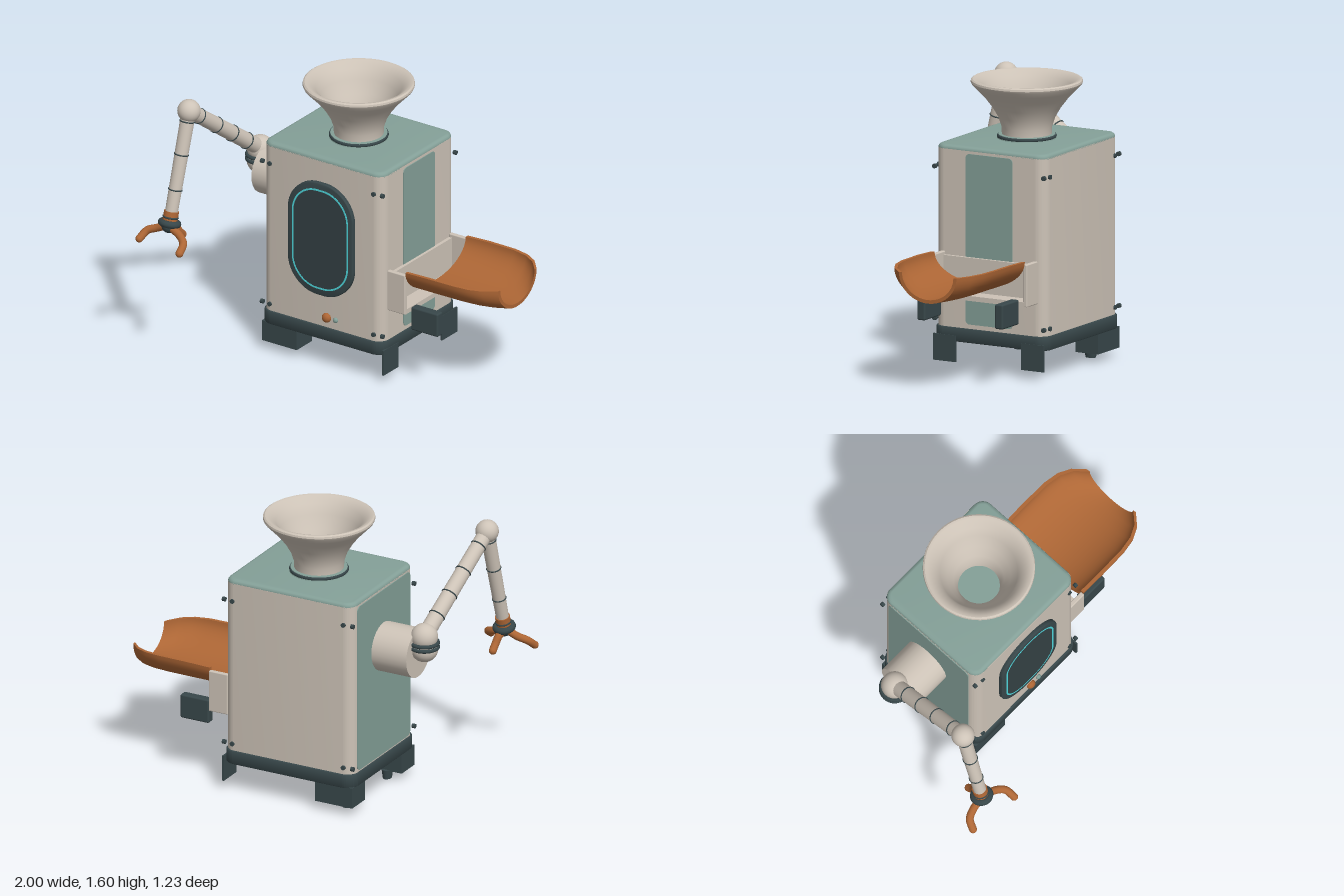
import * as THREE from 'three';
import { toCreasedNormals } from 'three/addons/utils/BufferGeometryUtils.js';
import { RoundedBoxGeometry } from 'three/addons/geometries/RoundedBoxGeometry.js';

const CX = -0.07, CZ = -0.25;
const V = (x, y, z) => new THREE.Vector3(x, y, z);

export function createModel() {
  const root = new THREE.Group();
  const mat = (name, color, side = THREE.FrontSide) =>
    Object.assign(new THREE.MeshStandardMaterial({ color, side }), { name });
  const shell = mat('warm grey shell', 0xcdc3b7);
  const teal = mat('muted teal', 0x84a098);
  const dark = mat('dark slate', 0x38474a);
  const glass = mat('window glass', 0x344144);
  const copper = mat('copper', 0xad6635);
  const cyan = mat('cyan light', 0x4fd8de);

  const add = (name, geo, material, x = 0, y = 0, z = 0, parent = root) => {
    const m = new THREE.Mesh(geo, material);
    m.name = name;
    m.position.set(x, y, z);
    parent.add(m);
    return m;
  };
  const box = (name, w, h, d, material, x, y, z, r = 0) =>
    add(name, r ? new RoundedBoxGeometry(w, h, d, 3, r) : new THREE.BoxGeometry(w, h, d), material, x, y, z);

  // Rounded rectangle, centred, for plan outlines and plates
  const roundRect = (w, h, r, Type = THREE.Shape) => {
    const s = new Type(), a = w / 2, b = h / 2, q = Math.PI / 2;
    s.moveTo(a, -b + r);
    s.lineTo(a, b - r);
    s.absarc(a - r, b - r, r, 0, q);
    s.lineTo(-a + r, b);
    s.absarc(-a + r, b - r, r, q, 2 * q);
    s.lineTo(-a, -b + r);
    s.absarc(-a + r, -b + r, r, 2 * q, 3 * q);
    s.lineTo(a - r, -b);
    s.absarc(a - r, -b + r, r, 3 * q, 4 * q);
    s.closePath();
    return s;
  };
  const extrude = (shape, depth, bevel = 0) => toCreasedNormals(new THREE.ExtrudeGeometry(shape, {
    depth: depth - 2 * bevel, curveSegments: 14, bevelEnabled: bevel > 0,
    bevelSize: bevel, bevelThickness: bevel, bevelOffset: -bevel, bevelSegments: 4,
  }).translate(0, 0, bevel), 0.6);
  const upright = (shape, depth, bevel) => extrude(shape, depth, bevel).rotateX(-Math.PI / 2);

  // Cabinet: shell, top cap and base skirt
  add('body', upright(roundRect(0.81, 0.71, 0.065), 1.06), shell, CX, 0.185, CZ);
  add('topCap', upright(roundRect(0.81, 0.71, 0.065), 0.05, 0.024), teal, CX, 1.217, CZ);
  const skirt = roundRect(0.825, 0.73, 0.07);
  skirt.holes.push(roundRect(0.76, 0.665, 0.045, THREE.Path));
  add('baseSkirt', upright(skirt, 0.08, 0.008), dark, CX, 0.165, CZ);

  // Side panels
  add('rightSidePanel', extrude(roundRect(0.3, 0.96, 0.025), 0.008).rotateY(Math.PI / 2), teal, 0.332, 0.75, CZ);
  add('leftSidePanel', extrude(roundRect(0.6, 0.98, 0.03), 0.008).rotateY(-Math.PI / 2), teal, -0.472, 0.745, CZ);

  // Feet: blocks with pads on one side, thin skirt plates on the other
  for (const [z, padZ] of [[0.0325, -0.02], [-0.5325, -0.48]]) {
    box('footBlock', 0.235, 0.12, 0.145, dark, -0.3575, 0.11, z);
    add('footPad', new THREE.CylinderGeometry(0.04, 0.031, 0.055, 20).scale(0.76, 1, 1), dark, -0.374, 0.0275, padZ);
    box('footPlate', 0.01, 0.15, 0.145, dark, 0.34, 0.125, z);
  }

  // Oval window
  const WX = -0.065, WY = 0.78;
  add('windowFrame', extrude(roundRect(0.44, 0.68, 0.2), 0.03, 0.006), dark, WX, WY, 0.1);
  const ring = roundRect(0.378, 0.604, 0.17);
  ring.holes.push(roundRect(0.358, 0.584, 0.16, THREE.Path));
  add('windowLight', extrude(ring, 0.005), cyan, WX, WY, 0.127);
  add('windowGlass', extrude(roundRect(0.358, 0.584, 0.16), 0.004), glass, WX, WY, 0.127);

  // Knobs
  for (const [name, x, r, m] of [['largeKnob', -0.035, 0.028, copper], ['smallKnob', 0.026, 0.016, teal]]) {
    add(name, new THREE.SphereGeometry(r, 20, 14).scale(1, 1, 0.8), m, x, 0.305, 0.11);
  }

  // Corner screws on all four sides
  const screw = new THREE.CylinderGeometry(0.013, 0.013, 0.018, 14);
  for (const y of [1.14, 0.285]) {
    for (const z of [0.105, -0.605]) {
      for (const x of [-0.42, 0.28]) add('screw', screw, dark, x, y, z).rotation.x = Math.PI / 2;
      for (const x of [-0.475, 0.335]) add('screw', screw, dark, x, y, z > 0 ? 0.1 : -0.6).rotation.z = Math.PI / 2;
    }
  }

  // Hopper, open through to the cap
  add('hopperCollar', new THREE.CylinderGeometry(0.158, 0.165, 0.026, 48), teal, CX, 1.278, CZ);
  add('hopperSeam', new THREE.TorusGeometry(0.155, 0.011, 8, 48).rotateX(Math.PI / 2), dark, CX, 1.279, CZ);
  const hopper = [[0.138, 1.285], [0.14, 1.33], [0.158, 1.385], [0.19, 1.44], [0.232, 1.495], [0.275, 1.54],
    [0.306, 1.572], [0.311, 1.583], [0.309, 1.594], [0.3, 1.6], [0.285, 1.598], [0.24, 1.565], [0.215, 1.51],
    [0.175, 1.44], [0.14, 1.38], [0.12, 1.33], [0.115, 1.285]].map(([r, y]) => new THREE.Vector2(r, y));
  add('hopper', toCreasedNormals(new THREE.LatheGeometry(hopper, 56), 0.6), shell, CX, 0, CZ);

  // Tray bracket
  box('bracketBack', 0.02, 0.22, 0.61, shell, 0.347, 0.54, CZ - 0.005);
  box('bracketFloor', 0.115, 0.028, 0.61, shell, 0.397, 0.444, CZ - 0.005);
  for (const z of [0.043, -0.55]) box('bracketEnd', 0.12, 0.24, 0.026, shell, 0.395, 0.55, z, 0.006);
  for (const z of [0, -0.5]) box('trayStop', 0.18, 0.14, 0.052, dark, 0.565, 0.405, z, 0.01);

  // Trough tray lofted from half-ellipse sections: x, half width, rim height
  const sections = [[0.455, 0.3, 0.685], [0.6, 0.303, 0.69], [0.78, 0.3, 0.69], [0.87, 0.285, 0.687],
    [0.94, 0.25, 0.682], [1.0, 0.185, 0.675]];
  const N = 28, M = 2 * (N + 1), T = 0.02, pos = [], idx = [];
  for (const [x, a, top] of sections) {
    for (let j = 0; j < M; j++) {
      const inner = j > N, t = Math.PI * (inner ? M - 1 - j : j) / N, k = inner ? T : 0;
      pos.push(x, top - (top - 0.515 - k) * Math.sin(t), CZ + (a - k) * Math.cos(t));
    }
  }
  const quad = (a, b, c, d) => idx.push(a, b, c, a, c, d);
  const last = (sections.length - 1) * M;
  for (let i = 0; i < last; i += M) {
    for (let j = 0; j < M; j++) {
      const k = (j + 1) % M;
      quad(i + j, i + k, i + M + k, i + M + j);
    }
  }
  for (let j = 0; j < N; j++) {
    quad(last + j, last + j + 1, last + M - 2 - j, last + M - 1 - j);
    quad(M - 1 - j, M - 2 - j, j + 1, j);
  }
  const trayGeo = new THREE.BufferGeometry();
  trayGeo.setAttribute('position', new THREE.Float32BufferAttribute(pos, 3));
  trayGeo.setIndex(idx);
  add('tray', toCreasedNormals(trayGeo, 0.7), copper);

  // Arm
  const arm = new THREE.Group();
  arm.name = 'arm';
  root.add(arm);
  const rod = (name, a, b, ra, rb, material) => {
    const m = add(name, new THREE.CylinderGeometry(rb, ra, a.distanceTo(b), 28), material, 0, 0, 0, arm);
    m.position.copy(a).lerp(b, 0.5);
    m.quaternion.setFromUnitVectors(V(0, 1, 0), b.clone().sub(a).normalize());
  };
  const ball = (name, p, r, material) => add(name, new THREE.SphereGeometry(r, 28, 20), material, p.x, p.y, p.z, arm);
  const hoop = (name, p, dir, r, tube, material) => {
    const m = add(name, new THREE.TorusGeometry(r, tube, 10, 32), material, p.x, p.y, p.z, arm);
    m.quaternion.setFromUnitVectors(V(0, 0, 1), dir);
  };
  const limb = (name, a, b, ra, rb, bands) => {
    rod(name, a, b, ra, rb, shell);
    const dir = b.clone().sub(a).normalize();
    for (const t of bands) hoop(name + 'Band', a.clone().lerp(b, t), dir, ra + (rb - ra) * t, 0.004, dark);
  };

  const shoulder = V(-0.74, 1.01, -0.26), elbow = V(-0.812, 1.44, 0.325), wrist = V(-0.83, 0.86, 0.472);
  rod('shoulderDrum', V(-0.46, 0.9, -0.255), V(-0.7, 0.9, -0.255), 0.14, 0.14, shell);
  ball('shoulderBase', V(-0.74, 0.94, -0.26), 0.078, shell);
  for (const y of [0.95, 0.975]) hoop('shoulderRing', V(-0.74, y, -0.26), V(0, 1, 0), 0.076, 0.011, dark);
  ball('shoulderBall', shoulder, 0.076, shell);
  ball('elbowBall', elbow, 0.065, shell);
  limb('upperArm', shoulder, elbow, 0.046, 0.042, [0.2, 0.4, 0.62, 0.86]);
  limb('forearm', elbow, wrist, 0.041, 0.036, [0.1, 0.42, 0.76]);

  // Wrist and hand
  const along = wrist.clone().sub(elbow).normalize();
  const palm = wrist.clone().addScaledVector(along, 0.05);
  rod('wristCuff', wrist.clone().addScaledVector(along, -0.02), palm, 0.042, 0.042, copper);
  hoop('cuffRing', wrist.clone().addScaledVector(along, 0.015), along, 0.04, 0.006, dark);
  hoop('wristRing', palm, along, 0.046, 0.02, dark);
  ball('palm', palm.clone().addScaledVector(along, 0.015), 0.042, dark);
  const fingers = [
    [[-0.855, 0.79, 0.49], [-0.91, 0.765, 0.495], [-0.96, 0.745, 0.515], [-0.982, 0.705, 0.56]],
    [[-0.81, 0.79, 0.495], [-0.75, 0.765, 0.505], [-0.7, 0.74, 0.54], [-0.687, 0.705, 0.595]],
    [[-0.83, 0.79, 0.475], [-0.826, 0.775, 0.435], [-0.82, 0.735, 0.405], [-0.82, 0.705, 0.375]],
  ];
  for (const pts of fingers) {
    const path = new THREE.CatmullRomCurve3(pts.map((p) => V(...p)));
    add('finger', new THREE.TubeGeometry(path, 20, 0.022, 14), copper, 0, 0, 0, arm);
    for (const p of [pts[0], pts[3]]) ball('fingerEnd', V(...p), 0.022, copper);
  }
  return root;
}
